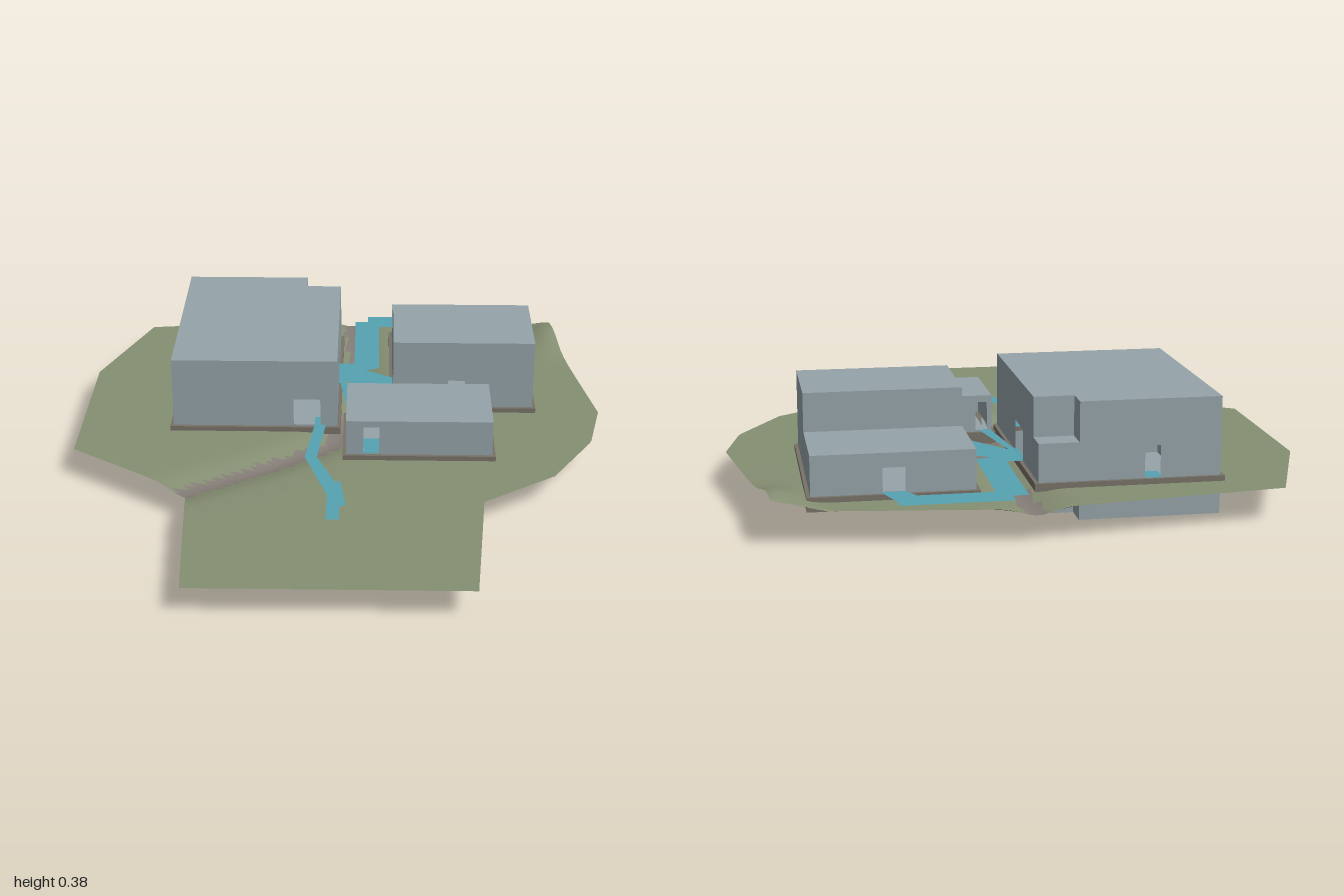
import * as THREE from 'three';

const mat = (name, color, side = THREE.DoubleSide) => {
  const m = new THREE.MeshStandardMaterial({ color, side });
  m.name = name;
  return m;
};

export function createModel() {
  const model = new THREE.Group();
  model.name = 'buildingSite';
  const wallGrey = mat('wallGrey', 0x95a3a8);
  const grass = mat('grass', 0x858f72);
  const gully = mat('gullyMauve', 0x857d77);
  const pathBlue = mat('pathBlue', 0x56a3b3);
  const stone = mat('plinthStone', 0x787268);
  const amber = mat('stairAmber', 0xc98d3e);

  const add = (parent, name, geo, material) => {
    const mesh = new THREE.Mesh(geo, material);
    mesh.name = name;
    parent.add(mesh);
    return mesh;
  };
  const box = (parent, name, x0, x1, y0, y1, z0, z1, material) => {
    const m = add(parent, name, new THREE.BoxGeometry(x1 - x0, y1 - y0, z1 - z0), material);
    m.position.set((x0 + x1) / 2, (y0 + y1) / 2, (z0 + z1) / 2);
  };
  // Flat polygon of [x, z] points at height y, facing up
  const flat = (parent, name, pts, y, material) => {
    const shape = new THREE.Shape(pts.map(([x, z]) => new THREE.Vector2(x, -z)));
    const geo = new THREE.ShapeGeometry(shape).rotateX(-Math.PI / 2);
    add(parent, name, geo, material).position.y = y;
  };
  const rect = (x0, x1, z0, z1) => [[x0, z0], [x0, z1], [x1, z1], [x1, z0]];
  const rectPath = (P, a0, a1, b0, b1) =>
    new P([[a0, b0], [a1, b0], [a1, b1], [a0, b1]].map(p => new THREE.Vector2(...p)));

  // Wall from a to b ([x, z]); doors are [start, end] distances along it
  const wall = (parent, a, b, y0, y1, doors = []) => {
    const dx = b[0] - a[0], dz = b[1] - a[1];
    const shape = rectPath(THREE.Shape, 0, Math.hypot(dx, dz), y0, y1);
    for (const [d0, d1] of doors) shape.holes.push(rectPath(THREE.Path, d0, d1, 0.136, 0.235));
    const m = add(parent, 'wall', new THREE.ShapeGeometry(shape), wallGrey);
    m.position.set(a[0], 0, a[1]);
    m.rotation.y = Math.atan2(-dz, dx);
  };
  // Four walls, counter-clockwise from above: front, left, back, right
  const walls = (parent, x0, x1, z0, z1, y0, y1, doors = {}) => {
    wall(parent, [x0, z1], [x1, z1], y0, y1, doors.front);
    wall(parent, [x1, z1], [x1, z0], y0, y1, doors.left);
    wall(parent, [x1, z0], [x0, z0], y0, y1, doors.back);
    wall(parent, [x0, z0], [x0, z1], y0, y1, doors.right);
  };
  // Ring plinth around a footprint
  const plinth = (parent, x0, x1, z0, z1, y0, inset) => {
    const shape = rectPath(THREE.Shape, x0 - 0.012, x1 + 0.012, -z1 - 0.012, -z0 + 0.012);
    shape.holes.push(rectPath(THREE.Path, x0 + inset, x1 - inset, -z1 + inset, -z0 - inset));
    const geo = new THREE.ExtrudeGeometry(shape, { depth: 0.13 - y0, bevelEnabled: false });
    add(parent, 'plinth', geo.rotateX(-Math.PI / 2), stone).position.y = y0;
  };
  const group = name => {
    const g = new THREE.Group();
    g.name = name;
    model.add(g);
    return g;
  };

  // Main hall with basement and a stepped back corner
  const hall = group('mainHall');
  const outline = [[-0.605, -0.04], [-0.02, -0.04], [-0.02, -0.715], [-0.15, -0.715], [-0.15, -0.8], [-0.605, -0.8]];
  const hallDoors = [[[0.43, 0.525]], [[0.36, 0.5]], [], [], [[0.21, 0.26]], []];
  outline.forEach((p, i) => wall(hall, p, outline[(i + 1) % 6], 0.004, 0.385, hallDoors[i]));
  flat(hall, 'roof', outline, 0.385, wallGrey);
  flat(hall, 'basementFloor', outline, 0.004, wallGrey);
  walls(hall, -0.15, -0.02, -0.8, -0.715, 0.1, 0.255);
  flat(hall, 'cornerRoof', rect(-0.15, -0.02, -0.8, -0.715), 0.255, wallGrey);
  plinth(hall, -0.605, -0.02, -0.8, -0.04, 0.105, 0.004);
  flat(hall, 'backThreshold', rect(-0.415, -0.36, -0.815, -0.74), 0.135, pathBlue);
  for (let i = 0; i < 8; i++) {
    const x = -0.08 - i * 0.034, y = 0.222 - i * 0.027;
    box(hall, 'stairStep', x - 0.034, x, i === 7 ? 0.002 : Math.max(0.006, y - 0.08), y, -0.47, -0.39, amber);
  }

  // Back building: tall front half, low rear half
  const back = group('backBuilding');
  walls(back, 0.18, 0.688, -0.545, -0.203, 0.1, 0.385, { front: [[0.2, 0.26]] });
  flat(back, 'tallRoof', rect(0.18, 0.688, -0.545, -0.203), 0.385, wallGrey);
  walls(back, 0.18, 0.688, -0.838, -0.545, 0.1, 0.258, { back: [[0.22, 0.29]] });
  flat(back, 'lowRoof', rect(0.18, 0.688, -0.838, -0.545), 0.258, wallGrey);
  box(back, 'floor', 0.181, 0.687, 0.1, 0.13, -0.837, -0.204, wallGrey);
  plinth(back, 0.18, 0.688, -0.838, -0.203, 0.085, 0.02);

  // Small front building
  const front = group('frontBuilding');
  walls(front, 0.015, 0.522, -0.13, 0.167, 0.1, 0.258, { front: [[0.06, 0.115]], back: [[0.24, 0.3], [0.45, 0.49]] });
  flat(front, 'roof', rect(0.015, 0.522, -0.13, 0.167), 0.258, wallGrey);
  box(front, 'floor', 0.016, 0.521, 0.1, 0.13, -0.129, 0.166, wallGrey);
  plinth(front, 0.015, 0.522, -0.13, 0.167, 0.085, 0.02);
  flat(front, 'frontThreshold', rect(0.075, 0.13, 0.06, 0.172), 0.135, pathBlue);

  // Paths
  const paths = group('paths');
  flat(paths, 'frontPath', [[-0.06, -0.1], [-0.06, -0.04], [-0.085, 0.2], [-0.02, 0.37], [0, 0.37], [0.02, 0.53],
    [0, 0.535], [0, 0.62], [-0.043, 0.62], [-0.043, 0.46], [-0.127, 0.2], [-0.1, -0.04], [-0.1, -0.1]], 0.135, pathBlue);
  flat(paths, 'courtyardPath', [[-0.03, -0.55], [0.035, -0.55], [0.035, -0.94], [0.085, -0.94], [0.085, -0.99],
    [0.435, -0.99], [0.435, -0.95], [0.475, -0.835], [0.4, -0.835], [0.37, -0.89], [0.13, -0.89], [0.13, -0.51],
    [0.08, -0.49], [0.18, -0.43], [0.18, -0.34], [0.12, -0.34], [0.29, -0.12], [0.22, -0.12], [0.005, -0.4],
    [0.06, -0.12], [0.02, -0.12], [-0.015, -0.38], [-0.03, -0.38]], 0.135, pathBlue);
  flat(paths, 'branchPath', [[0.12, -0.34], [0.18, -0.29], [0.36, -0.19], [0.41, -0.17], [0.43, -0.21], [0.18, -0.36]],
    0.1345, pathBlue);

  // Terrain: rows across an outline, with a shallow gully and a corner mound
  const edgeL = [[-1, -0.12], [-0.92, -0.78], [-0.5, -0.94], [0.12, -0.94], [0.41, -0.52], [1, -0.48]];
  const edgeR = [[-1, 0.15], [-0.92, 0.81], [-0.7, 0.84], [-0.2, 0.93], [0.03, 0.88], [0.28, 0.73], [0.46, 0.48], [1, 0.435]];
  const edge = (pts, z) => {
    const i = Math.max(1, pts.findIndex(p => p[0] >= z - 1e-6));
    const [z0, x0] = pts[i - 1], [z1, x1] = pts[i];
    return x0 + (x1 - x0) * (z - z0) / (z1 - z0);
  };
  const bed = [[-0.53, 0.39], [-0.28, 0.23], [-0.03, 0.04], [0.08, -0.3], [0.02, -1]];
  const gullyDistance = (x, z) => Math.min(...bed.slice(1).map(([bx, bz], i) => {
    const [ax, az] = bed[i], dx = bx - ax, dz = bz - az;
    const t = THREE.MathUtils.clamp(((x - ax) * dx + (z - az) * dz) / (dx * dx + dz * dz), 0, 1);
    return Math.hypot(x - ax - t * dx, z - az - t * dz);
  }));
  const height = (x, z) => 0.113
    - 0.025 * Math.exp(-((gullyDistance(x, z) / 0.07) ** 2))
    + 0.045 * Math.exp(-(((x - 0.8) / 0.08) ** 2) - ((z + 0.85) / 0.15) ** 2);
  const rows = 100, cols = 60, pos = [], green = [], mauve = [];
  for (let r = 0; r <= rows; r++) {
    const z = -1 + 2 * r / rows, l = edge(edgeL, z), w = edge(edgeR, z) - l;
    for (let c = 0; c <= cols; c++) {
      const x = l + w * c / cols;
      pos.push(x, height(x, z), z);
    }
  }
  for (let r = 0; r < rows; r++) for (let c = 0; c < cols; c++) {
    const a = r * (cols + 1) + c, b = a + cols + 1;
    const x = (pos[a * 3] + pos[b * 3 + 3]) / 2, z = (pos[a * 3 + 2] + pos[b * 3 + 2]) / 2;
    if (x > -0.595 && x < -0.03 && z > -0.79 && z < -0.05 && !(x > -0.15 && z < -0.715)) continue;
    (gullyDistance(x, z) < 0.035 ? mauve : green).push(a, b, a + 1, a + 1, b, b + 1);
  }
  const geo = new THREE.BufferGeometry();
  geo.setAttribute('position', new THREE.Float32BufferAttribute(pos, 3));
  geo.setIndex([...green, ...mauve]);
  geo.addGroup(0, green.length, 0);
  geo.addGroup(green.length, mauve.length, 1);
  geo.computeVertexNormals();
  add(model, 'terrain', geo, [grass, gully]);
  return model;
}
